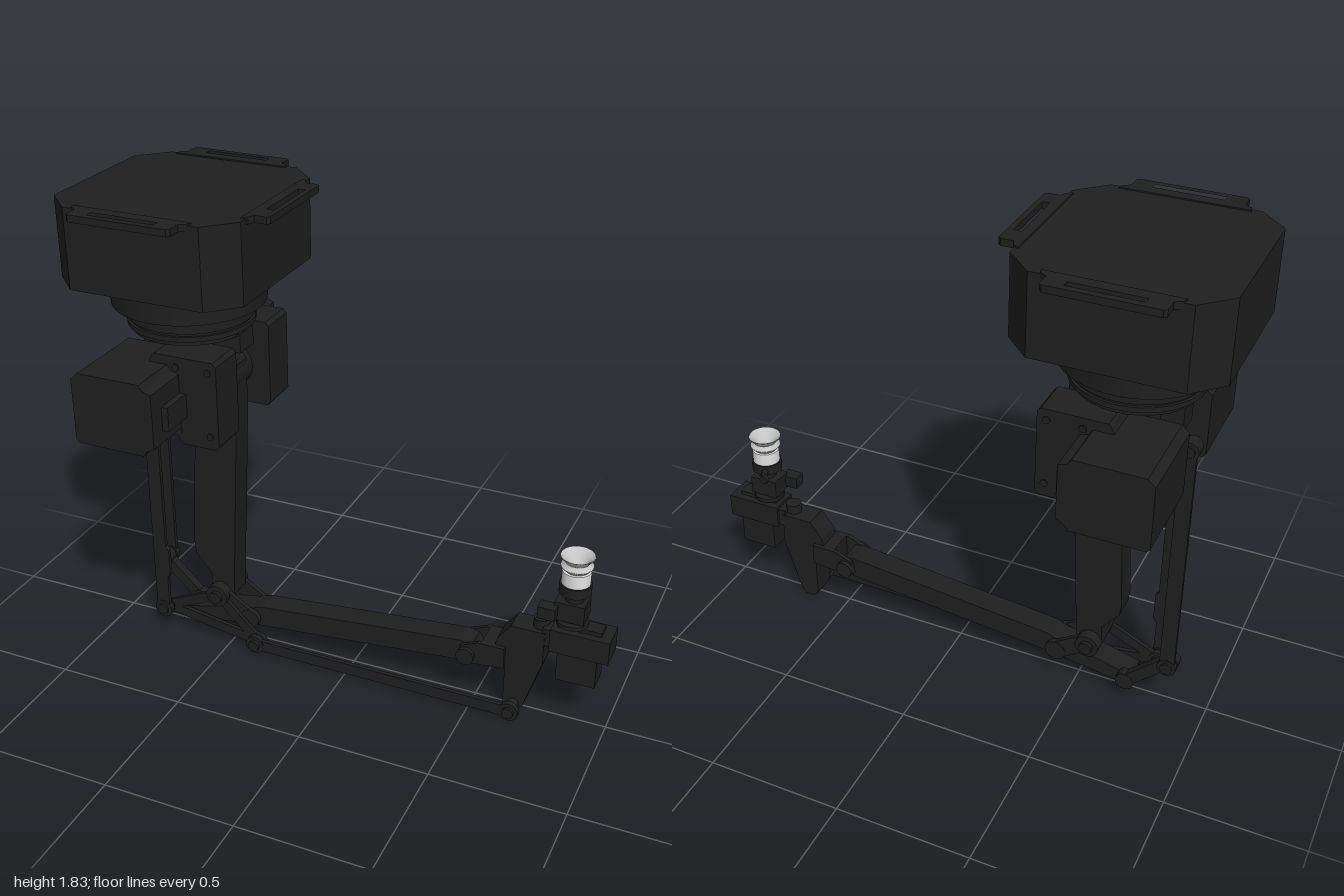
import * as THREE from 'three';

const black = new THREE.MeshStandardMaterial({ color: 0x1f1f1f });
black.name = 'black';
const white = new THREE.MeshStandardMaterial({ color: 0xe4e4e4 });
white.name = 'white';
const silicone = new THREE.MeshStandardMaterial({ color: 0xc4c4c4, side: THREE.DoubleSide });
silicone.name = 'translucent grey';

export function createModel() {
  const root = new THREE.Group();
  root.name = 'robotArm';

  const add = (name, geo, mat = black) => {
    const m = new THREE.Mesh(geo, mat);
    m.name = name;
    root.add(m);
    return m;
  };
  // box given by its limits on each axis
  const box = (name, x0, x1, y0, y1, z0, z1) =>
    add(name, new THREE.BoxGeometry(x1 - x0, y1 - y0, z1 - z0)
      .translate((x0 + x1) / 2, (y0 + y1) / 2, (z0 + z1) / 2));
  const poly = (pts) => new THREE.Shape(pts.map((p) => new THREE.Vector2(p[0], p[1])));
  // side profile in x,y extruded along z
  const plate = (name, shape, z0, z1) =>
    add(name, new THREE.ExtrudeGeometry(shape, { depth: z1 - z0, bevelEnabled: false, curveSegments: 12 })
      .translate(0, 0, z0));
  // plan outline in x,z extruded along y
  const slab = (name, shape, y0, y1) =>
    add(name, new THREE.ExtrudeGeometry(shape, { depth: y1 - y0, bevelEnabled: false, curveSegments: 40 })
      .rotateX(-Math.PI / 2).translate(0, y0, 0));
  const disc = (name, x, z, r, y0, y1, mat = black, r2 = r) =>
    add(name, new THREE.CylinderGeometry(r2, r, y1 - y0, 40).translate(x, (y0 + y1) / 2, z), mat);
  const pin = (name, x, y, r, z0, z1) =>
    add(name, new THREE.CylinderGeometry(r, r, z1 - z0, 24).rotateX(Math.PI / 2)
      .translate(x, y, (z0 + z1) / 2));
  // bar with round ends between two pivots
  const link = (name, a, b, w, r, z0, z1) => {
    const dx = b[0] - a[0], dy = b[1] - a[1], len = Math.hypot(dx, dy);
    const m = add(name, new THREE.BoxGeometry(len, w, z1 - z0));
    m.position.set((a[0] + b[0]) / 2, (a[1] + b[1]) / 2, (z0 + z1) / 2);
    m.rotation.z = Math.atan2(dy, dx);
    for (const p of [a, b]) pin(name + 'Eye', p[0], p[1], r, z0 - 0.002, z1 + 0.002);
  };

  // Base housing with cut corners
  slab('baseHousing', poly([[-1, -0.26], [-0.9, -0.36], [-0.385, -0.36], [-0.285, -0.26],
    [-0.285, 0.26], [-0.385, 0.36], [-0.9, 0.36], [-1, 0.26]]), 1.537, 1.83);
  box('baseFoot', -0.96, -0.91, 1.517, 1.54, -0.03, 0.03);

  // Mounting tabs with slots
  const slot = (x0, x1, y0, y1) => new THREE.Path([[x0, y0], [x1, y0], [x1, y1], [x0, y1]]
    .map((p) => new THREE.Vector2(p[0], p[1])));
  for (const s of [1, -1]) {
    const tab = poly([[-0.87, s * 0.34], [-0.42, s * 0.34], [-0.425, s * 0.36], [-0.45, s * 0.375],
      [-0.45, s * 0.425], [-0.46, s * 0.435], [-0.83, s * 0.435], [-0.84, s * 0.425],
      [-0.84, s * 0.375], [-0.865, s * 0.36]]);
    tab.holes.push(slot(-0.77, -0.52, s * 0.385, s * 0.41));
    slab('sideMountTab', tab, 1.81, 1.835);
  }
  const frontTab = poly([[-0.3, -0.23], [-0.28, -0.22], [-0.27, -0.195], [-0.225, -0.195], [-0.215, -0.185],
    [-0.215, 0.185], [-0.225, 0.195], [-0.27, 0.195], [-0.28, 0.22], [-0.3, 0.23]]);
  frontTab.holes.push(slot(-0.262, -0.235, -0.12, 0.12));
  slab('endMountTab', frontTab, 1.81, 1.835);

  // Turntable: round collar with one flat side, then stepped rings
  const collar = new THREE.Shape();
  const flat = Math.acos(-0.23 / 0.28);
  collar.absarc(-0.645, 0, 0.28, -flat, flat, false);
  slab('turntableCollar', collar, 1.425, 1.54);
  disc('turntableRing', -0.64, 0, 0.232, 1.375, 1.43);
  disc('turntableGroove', -0.64, 0, 0.222, 1.362, 1.378);
  disc('turntableFlange', -0.64, 0, 0.232, 1.345, 1.364);
  disc('turntableHub', -0.64, 0, 0.215, 1.325, 1.346);

  // Shoulder bracket between the motors
  box('shoulderPost', -0.82, -0.74, 1.2, 1.335, -0.05, 0.05);
  box('shoulderNeck', -0.66, -0.42, 1.26, 1.335, -0.05, 0.05);
  box('shoulderBridge', -0.8, -0.6, 1.17, 1.27, -0.04, 0.04);
  pin('shoulderAxle', -0.53, 1.15, 0.05, -0.13, 0.13);
  pin('shoulderHub', -0.53, 1.15, 0.085, -0.085, 0.085);

  // Gearboxes and motors, mirrored front and back
  const gearbox = poly([[-0.66, 1.28], [-0.65, 1.305], [-0.64, 1.315], [-0.41, 1.315], [-0.397, 1.3],
    [-0.397, 0.995], [-0.41, 0.98], [-0.54, 0.98], [-0.565, 1.01], [-0.85, 1.01], [-0.862, 1.022],
    [-0.862, 1.255], [-0.835, 1.28]]);
  const motor = poly([[-0.862, 1.022], [-0.85, 1.01], [-0.59, 1.01], [-0.575, 1.03], [-0.545, 1.045],
    [-0.545, 1.25], [-0.575, 1.26], [-0.59, 1.28], [-0.835, 1.28], [-0.862, 1.255]]);
  for (const s of [1, -1]) {
    const span = (a, b) => (s > 0 ? [a, b] : [-b, -a]);
    plate('gearbox', gearbox, ...span(0.125, 0.275));
    plate('motor', motor, ...span(0.275, 0.463));
    box('motorConnector', -0.55, -0.52, 1.09, 1.18, ...span(0.27, 0.4));
    for (const [x, y] of [[-0.555, 1.275], [-0.43, 1.275], [-0.555, 1.03], [-0.43, 1.03]])
      pin('gearboxScrew', x, y, 0.013, ...span(0.27, 0.279));
  }

  // Upper arm
  plate('upperArm', poly([[-0.6, 1.22], [-0.57, 1.24], [-0.48, 1.24], [-0.45, 1.2], [-0.452, 0.98],
    [-0.485, 0.38], [-0.495, 0.21], [-0.52, 0.175], [-0.57, 0.175], [-0.595, 0.21], [-0.59, 0.29],
    [-0.655, 0.37], [-0.66, 0.42], [-0.625, 0.98]]), -0.047, 0.047);
  pin('elbowAxle', -0.55, 0.215, 0.045, -0.09, 0.09);
  pin('elbowBolt', -0.55, 0.215, 0.025, -0.105, 0.105);

  // Forearm with rear lever
  plate('forearm', poly([[-0.715, 0.07], [-0.69, 0.055], [-0.42, 0.095], [0.44, 0.178], [0.49, 0.185],
    [0.51, 0.22], [0.49, 0.255], [0.45, 0.265], [-0.38, 0.185], [-0.43, 0.165], [-0.54, 0.145],
    [-0.66, 0.115], [-0.72, 0.1]]), -0.047, 0.047);
  for (const s of [1, -1]) {
    link('elbowCheek', [-0.55, 0.215], [-0.42, 0.13], 0.07, 0.04, s * 0.057 - 0.009, s * 0.057 + 0.009);
  }
  link('forearmLever', [-0.86, 0.24], [-0.7, 0.09], 0.045, 0.035, -0.075, -0.04);

  // Parallel rods and cranks
  link('shoulderCrank', [-0.53, 1.15], [-0.86, 1.17], 0.06, 0.035, -0.085, -0.055);
  link('driveRod', [-0.86, 1.17], [-0.86, 0.24], 0.055, 0.035, -0.103, -0.087);
  link('levelRod', [-0.782, 1.04], [-0.782, 0.11], 0.055, 0.037, 0.095, 0.111);
  plate('levelRodFlare', poly([[-0.77, 0.24], [-0.742, 0.28], [-0.742, 0.39], [-0.77, 0.42]]), 0.095, 0.111);
  box('levelRodAnchor', -0.82, -0.745, 1.01, 1.08, 0.03, 0.12);
  link('trianglePlateBack', [-0.782, 0.11], [-0.55, 0.215], 0.04, 0.036, 0.066, 0.082);
  link('trianglePlateFront', [-0.55, 0.215], [-0.38, 0.045], 0.04, 0.036, 0.066, 0.082);
  link('trianglePlateBase', [-0.782, 0.11], [-0.38, 0.045], 0.04, 0.036, 0.066, 0.082);
  link('forearmRod', [-0.38, 0.045], [0.66, 0.045], 0.046, 0.037, 0.09, 0.106);
  pin('rodPivot', -0.782, 0.11, 0.022, 0.05, 0.122);
  pin('rodPivot', -0.38, 0.045, 0.022, 0.05, 0.122);
  pin('rodPivot', 0.66, 0.045, 0.022, 0.04, 0.118);
  pin('rodPivot', -0.86, 0.24, 0.022, -0.112, -0.04);
  pin('rodPivot', -0.86, 1.17, 0.022, -0.112, -0.04);

  // Wrist fork and bracket
  for (const s of [1, -1]) {
    plate('wristFork', poly([[0.44, 0.2], [0.46, 0.185], [0.62, 0.2], [0.62, 0.285], [0.52, 0.285], [0.45, 0.255]]),
      s * 0.056 - 0.008, s * 0.056 + 0.008);
    pin('wristBolt', 0.475, 0.22, 0.034, s * 0.072 - 0.009, s * 0.072 + 0.009);
  }
  plate('wristBracket', poly([[0.53, 0.2], [0.53, 0.285], [0.58, 0.285], [0.585, 0.315], [0.635, 0.382],
    [0.76, 0.382], [0.76, 0.25], [0.695, 0.04], [0.675, 0.015], [0.64, 0.015], [0.62, 0.035], [0.62, 0.2]]),
  -0.048, 0.048);
  disc('wristKnob', 0.735, 0, 0.03, 0.38, 0.42);

  // Tool head and servo
  box('headMount', 0.75, 0.8, 0.33, 0.4, -0.045, 0.045);
  box('headBody', 0.78, 0.997, 0.32, 0.412, -0.057, 0.057);
  box('headServo', 0.81, 0.955, 0.2, 0.33, -0.047, 0.047);
  box('headLid', 0.8, 0.96, 0.41, 0.428, -0.03, 0.03);
  disc('headHorn', 0.845, 0, 0.058, 0.426, 0.442);
  disc('toolShaft', 0.845, 0, 0.033, 0.44, 0.56);
  box('toolClamp', 0.785, 0.895, 0.452, 0.525, -0.045, 0.045);
  box('airFitting', 0.735, 0.8, 0.465, 0.512, 0.03, 0.08);
  disc('toolCollar', 0.845, 0, 0.058, 0.558, 0.597);
  const screw = add('clampScrew', new THREE.CylinderGeometry(0.012, 0.012, 0.06, 16).rotateX(Math.PI / 2));
  screw.position.set(0.81, 0.575, -0.075);
  screw.rotation.y = 0.5;
  pin('clampScrewHead', 0.795, 0.575, 0.017, -0.108, -0.092);

  // Suction cup: white sleeve and open bellows
  disc('cupSleeve', 0.845, 0, 0.052, 0.595, 0.648, white);
  const bellows = [[0.04, 0.646], [0.058, 0.664], [0.058, 0.668], [0.042, 0.679], [0.046, 0.685],
    [0.062, 0.703], [0.06, 0.707], [0.036, 0.684], [0.02, 0.668], [0, 0.668]];
  add('suctionBellows', new THREE.LatheGeometry(bellows.map((p) => new THREE.Vector2(p[0], p[1])), 40)
    .translate(0.845, 0, 0), silicone);

  return root;
}
